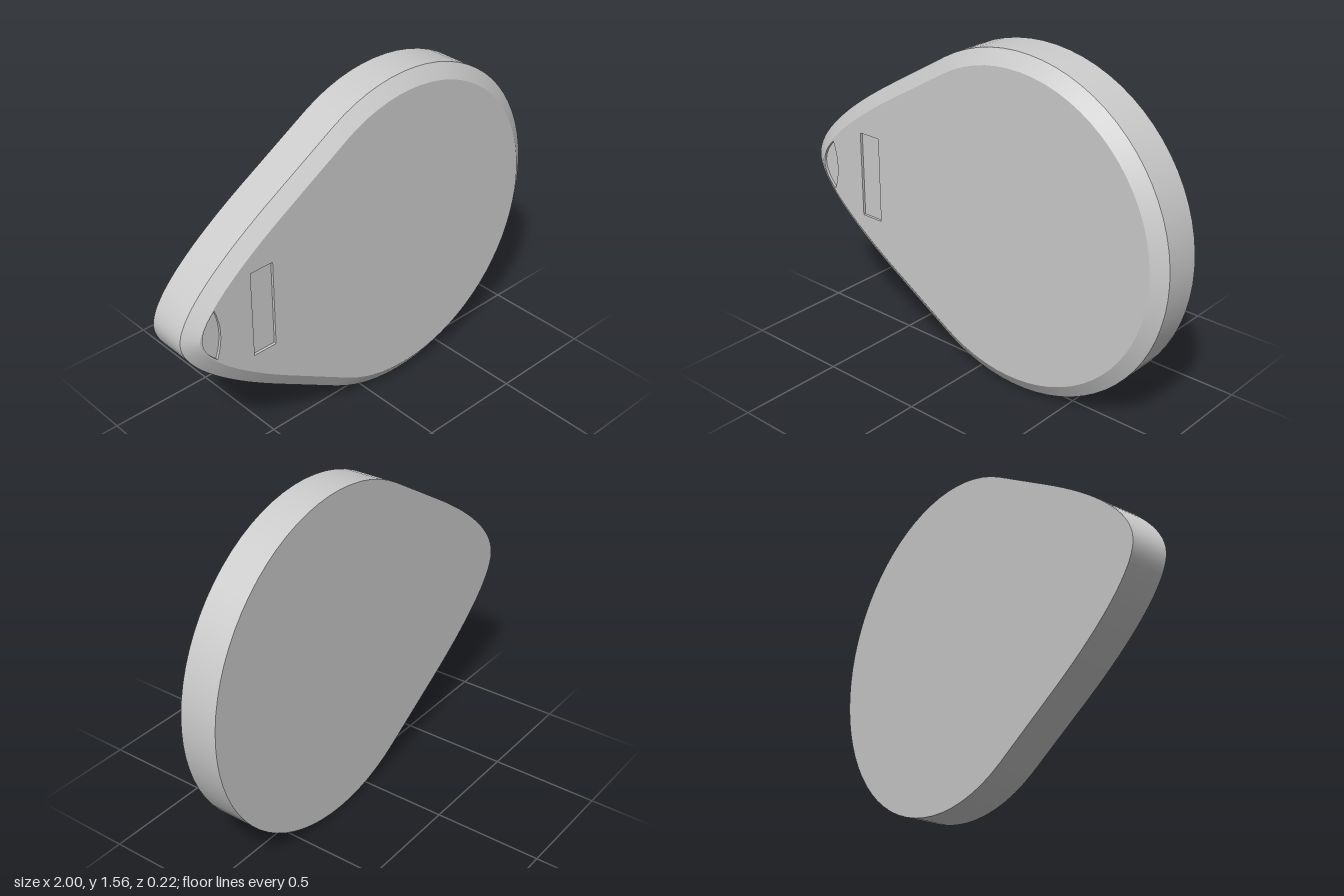
import * as THREE from 'three';

const BACK = -0.11, RIM = 0.066, FRONT = 0.11, BEVEL = 0.065, RECESS = 0.012;
const CX = 0.22, CY = 0.78, R = 0.78;
const V = (x, y) => new THREE.Vector2(x, y);

// Teardrop outline: round end, straight flank, rounded tip, mirrored below.
// Each entry is a point with its outward normal; order is counter-clockwise.
function outline() {
  const end = THREE.MathUtils.degToRad(121), upper = [];
  for (let i = 0; i <= 24; i++) {
    const a = end * i / 24, n = V(Math.cos(a), Math.sin(a));
    upper.push({ p: V(CX + R * n.x, R * n.y), n });
  }
  const tip = new THREE.CubicBezierCurve(V(-0.5, 0.477), V(-0.75, 0.327), V(-1, 0.14), V(-1, 0));
  for (let i = 0; i <= 20; i++) {
    const t = tip.getTangent(i / 20);
    upper.push({ p: tip.getPoint(i / 20), n: V(t.y, -t.x) });
  }
  const lower = upper.slice(1, -1).reverse().map(({ p, n }) => ({ p: V(p.x, -p.y), n: V(n.x, -n.y) }));
  return [...upper, ...lower];
}

const offset = (line, d) => line.map(({ p, n }) => V(p.x - d * n.x, CY + p.y - d * n.y));

// Smooth strip between two matching closed loops
function band(a, za, b, zb) {
  const pos = [], idx = [], n = a.length;
  a.forEach((p, i) => pos.push(p.x, p.y, za, b[i].x, b[i].y, zb));
  for (let i = 0; i < n; i++) {
    const j = (i + 1) % n;
    idx.push(2 * i, 2 * j, 2 * j + 1, 2 * i, 2 * j + 1, 2 * i + 1);
  }
  const g = new THREE.BufferGeometry();
  g.setAttribute('position', new THREE.Float32BufferAttribute(pos, 3));
  g.setIndex(idx);
  g.computeVertexNormals();
  return g;
}

function face(loop, z, holes = []) {
  const s = new THREE.Shape(loop);
  s.holes = holes.map((h) => new THREE.Path(h));
  return new THREE.ShapeGeometry(s).translate(0, 0, z);
}

export function createModel() {
  const model = new THREE.Group();
  model.name = 'teardropTag';
  const mat = new THREE.MeshStandardMaterial({ color: 0xcccccc });
  const add = (name, geo) => {
    const m = new THREE.Mesh(geo, mat);
    m.name = name;
    model.add(m);
    return m;
  };

  const line = outline();
  const outer = offset(line, 0), inner = offset(line, BEVEL);

  // Slot and lens-shaped recesses in the front face
  const slot = [V(-0.67, 0.58), V(-0.555, 0.58), V(-0.555, 0.99), V(-0.67, 0.99)];
  const top = V(-0.857, 0.9), bottom = V(-0.857, 2 * CY - 0.9);
  const lens = [
    ...new THREE.QuadraticBezierCurve(top, V(-0.99, CY), bottom).getPoints(14).slice(0, -1),
    ...new THREE.QuadraticBezierCurve(bottom, V(-0.81, CY), top).getPoints(14).slice(0, -1),
  ];

  // Body shell
  add('sideWall', band(outer, BACK, outer, RIM));
  add('bevel', band(outer, RIM, inner, FRONT));
  add('frontFace', face(inner, FRONT, [slot, lens]));
  add('backFace', face(outer, 0).rotateY(Math.PI).scale(1, 1, 1)).geometry = backFace(outer);

  // Recess walls and floors
  for (const [name, loop] of [['slot', slot], ['tipRecess', lens]]) {
    const wall = band(loop, FRONT, loop, FRONT - RECESS).toNonIndexed();
    wall.computeVertexNormals();
    add(name + 'Wall', wall);
    add(name + 'Floor', face(loop, FRONT - RECESS));
  }
  return model;
}

// Flat back, built mirrored and turned to face -z
function backFace(loop) {
  return face(loop.map((p) => V(-p.x, p.y)), 0).rotateY(Math.PI).translate(0, 0, BACK);
}
